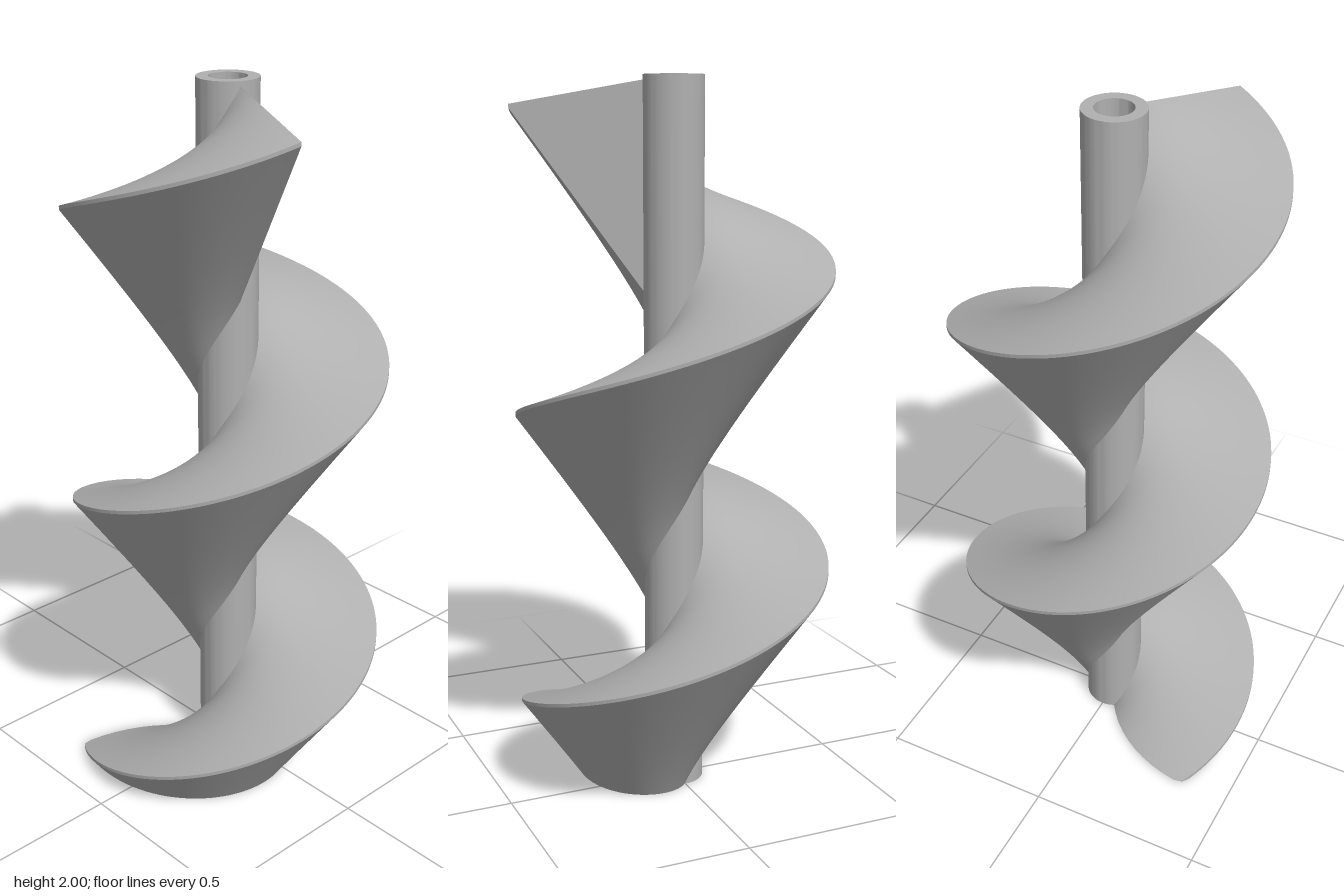
import * as THREE from 'three';
import { toCreasedNormals } from 'three/addons/utils/BufferGeometryUtils.js';

const SHAFT = 0.083, BORE = 0.051, RIM = 0.44, HEIGHT = 2;
const PITCH = 0.838;                      // rise per turn
const ROOT_UP = 0.063, ROOT_DOWN = 0.5;   // flight root above and below its rim
const EDGE = 0.01;                        // rim thickness
const TOP_RIM = 1.923;                    // rim height where the flight ends
const START = THREE.MathUtils.degToRad(20.7);
const END = START + ((TOP_RIM + ROOT_UP) / PITCH) * Math.PI * 2;
const STEPS = 300;

const rimY = a => TOP_RIM - PITCH * (a - START) / (Math.PI * 2);
const inward = r => (RIM - r) / (RIM - SHAFT);
const topY = (a, r) => rimY(a) + ROOT_UP * inward(r);
const lowY = (a, r) => rimY(a) - EDGE - (ROOT_DOWN - EDGE) * inward(r);
const clampR = r => THREE.MathUtils.clamp(r, SHAFT, RIM);
// radius at which each sloping face meets the ground
const topCut = a => clampR(RIM + (rimY(a) / ROOT_UP) * (RIM - SHAFT));
const lowCut = a => clampR(RIM - ((rimY(a) - EDGE) / (ROOT_DOWN - EDGE)) * (RIM - SHAFT));

// Surface swept round the axis; section(a, t) returns [radius, height]
function sweep(section, across) {
  const pos = [], index = [];
  for (let i = 0; i <= STEPS; i++) {
    const a = START + (END - START) * i / STEPS;
    for (let j = 0; j <= across; j++) {
      const [r, y] = section(a, j / across);
      pos.push(r * Math.cos(a), Math.max(0, y), r * Math.sin(a));
    }
  }
  const w = across + 1;
  for (let i = 0; i < STEPS; i++) {
    for (let j = 0; j < across; j++) {
      const p = i * w + j;
      index.push(p, p + w, p + 1, p + w, p + w + 1, p + 1);
    }
  }
  const g = new THREE.BufferGeometry();
  g.setAttribute('position', new THREE.Float32BufferAttribute(pos, 3));
  g.setIndex(index);
  g.computeVertexNormals();
  return g;
}

export function createModel() {
  const group = new THREE.Group();
  const steel = new THREE.MeshStandardMaterial({ color: 0xb0b0b0 });
  steel.name = 'steelGrey';
  const add = (name, geometry) => {
    const mesh = new THREE.Mesh(geometry, steel);
    mesh.name = name;
    group.add(mesh);
    return mesh;
  };

  // Hollow shaft
  const ring = new THREE.Shape().absarc(0, 0, SHAFT, 0, Math.PI * 2, false);
  ring.holes.push(new THREE.Path().absarc(0, 0, BORE, 0, Math.PI * 2, true));
  const tube = new THREE.ExtrudeGeometry(ring, { depth: HEIGHT, bevelEnabled: false, curveSegments: 32 });
  tube.rotateX(-Math.PI / 2);
  add('shaft', toCreasedNormals(tube, 0.6));

  // Flight faces, cut off level with the ground
  add('flightTop', sweep((a, t) => {
    const r = THREE.MathUtils.lerp(SHAFT, topCut(a), t);
    return [r, topY(a, r)];
  }, 10));
  add('flightRim', sweep((a, t) => [topCut(a), rimY(a) - EDGE * t], 1));
  add('flightUnderside', sweep((a, t) => {
    const r = THREE.MathUtils.lerp(RIM, lowCut(a), t);
    return rimY(a) > 0 ? [r, lowY(a, r)] : [topCut(a), 0];
  }, 14));

  // Flat end of the flight at the top
  const corners = [
    [SHAFT, topY(START, SHAFT)], [RIM, rimY(START)],
    [RIM, rimY(START) - EDGE], [SHAFT, lowY(START, SHAFT)],
  ];
  const end = new THREE.BufferGeometry();
  end.setAttribute('position', new THREE.Float32BufferAttribute(
    corners.flatMap(([r, y]) => [r * Math.cos(START), y, r * Math.sin(START)]), 3));
  end.setIndex([0, 1, 2, 0, 2, 3]);
  end.computeVertexNormals();
  add('flightEnd', end);

  // Flat foot where the flight meets the ground, with two small holes
  const from = START + ((TOP_RIM - ROOT_DOWN) / PITCH) * Math.PI * 2;
  const outer = [], inner = [];
  for (let i = 0; i <= 90; i++) {
    const a = from + (END - from) * i / 90;
    const r = rimY(a) > 0 ? lowCut(a) : topCut(a);
    outer.push(new THREE.Vector2(r * Math.cos(a), r * Math.sin(a)));
    if (i > 0 && i < 90) {
      inner.unshift(new THREE.Vector2(Math.cos(a), Math.sin(a)).multiplyScalar(SHAFT - 0.003));
    }
  }
  const foot = new THREE.Shape([...outer, ...inner]);
  const holeR = 0.016;
  for (const [x, z] of [[0.035, 0.233], [0.02, 0.135]]) {
    foot.holes.push(new THREE.Path().absarc(x, z, holeR, 0, Math.PI * 2, true));
    const wall = [[0, 0.09], [holeR, 0.09], [holeR, 0]].map(p => new THREE.Vector2(...p));
    add('footHole', toCreasedNormals(new THREE.LatheGeometry(wall, 20), 0.6)).position.set(x, 0, z);
  }
  const footGeometry = new THREE.ShapeGeometry(foot, 12);
  footGeometry.rotateX(Math.PI / 2);
  add('flightFoot', footGeometry);

  return group;
}
